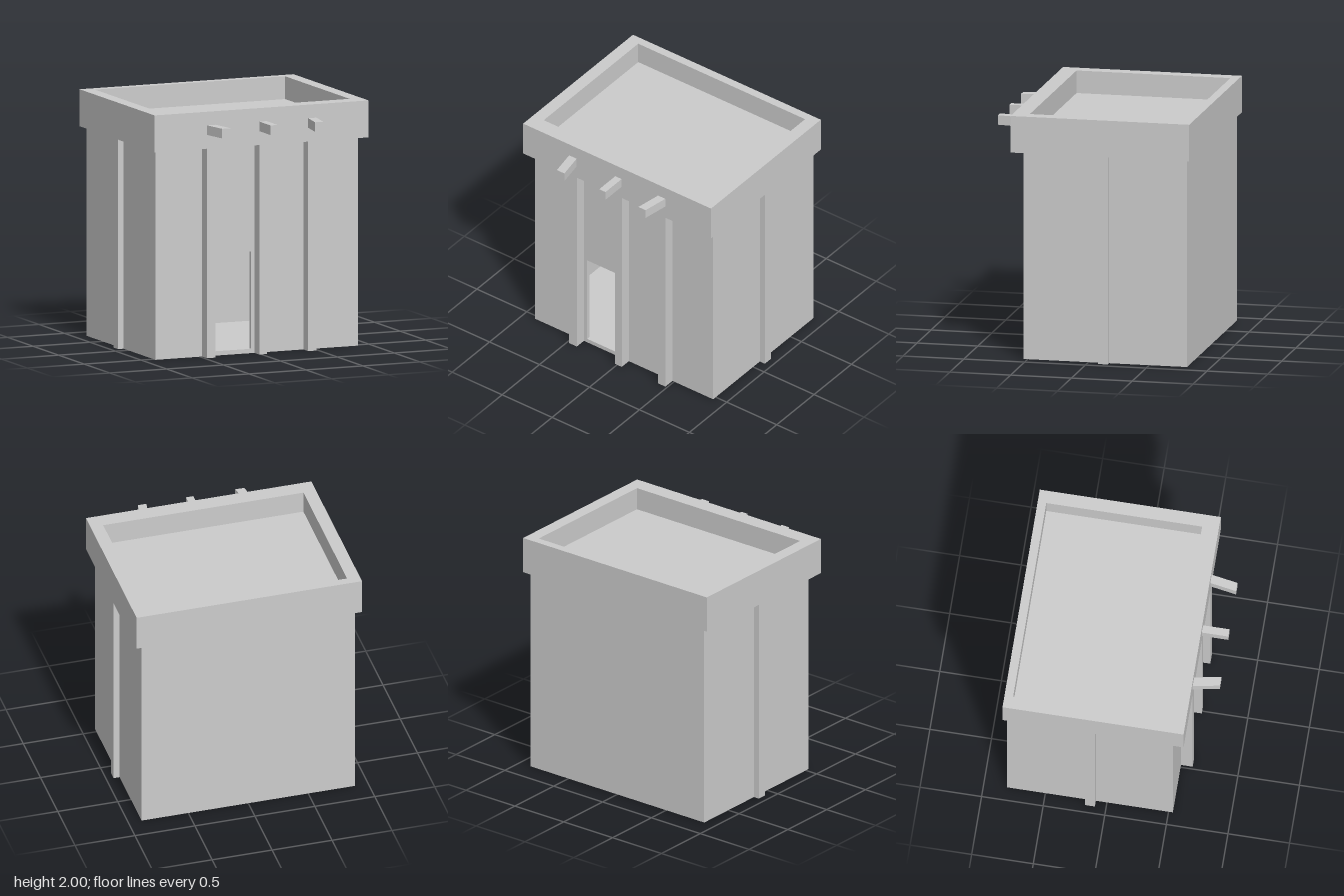
import * as THREE from 'three';

const material = new THREE.MeshStandardMaterial({ color: 0xcccccc, flatShading: true });

export function createModel() {
  const model = new THREE.Group();
  model.name = 'flatRoofedHouse';

  const add = (name, geometry) => {
    const mesh = new THREE.Mesh(geometry, material);
    mesh.name = name;
    model.add(mesh);
    return mesh;
  };

  // Box given by its limits on each axis
  const box = (name, x0, x1, y0, y1, z0, z1) =>
    add(name, new THREE.BoxGeometry(x1 - x0, y1 - y0, z1 - z0)
      .translate((x0 + x1) / 2, (y0 + y1) / 2, (z0 + z1) / 2));

  const trace = (path, a0, a1, b0, b1) => {
    path.moveTo(a0, b0);
    path.lineTo(a1, b0);
    path.lineTo(a1, b1);
    path.lineTo(a0, b1);
    path.closePath();
    return path;
  };

  // Rectangular plate with a rectangular opening
  const plate = (outer, inner, depth) => {
    const shape = trace(new THREE.Shape(), ...outer);
    shape.holes.push(trace(new THREE.Path(), ...inner));
    return new THREE.ExtrudeGeometry(shape, { depth, bevelEnabled: false });
  };

  const W = 0.89, BACK = -0.81, FRONT = 0.535, T = 0.03, EAVES = 1.7;

  // Hollow room: front wall with doorway, back and side walls, floor
  add('frontWall', plate([-W, W, 0, EAVES], [-0.37, -0.05, 0.035, 0.825], T)
    .translate(0, 0, FRONT - T));
  box('backWall', -W, W, 0, EAVES, BACK, BACK + T);
  box('rightWall', -W, -W + T, 0, EAVES, BACK + T, FRONT - T);
  box('leftWall', W - T, W, 0, EAVES, BACK + T, FRONT - T);
  box('floor', -W + T, W - T, 0, 0.035, BACK + T, FRONT - T);

  // Parapet ring around the sunken roof deck
  add('parapet', plate([-0.94, 0.94, -0.63, 0.84], [-0.835, 0.835, -0.495, 0.77], 0.3)
    .rotateX(-Math.PI / 2).translate(0, EAVES, 0));
  box('roofDeck', -0.835, 0.835, 1.78, 1.815, -0.77, 0.495);

  // Pilasters on the front and on both sides
  for (const [x0, x1] of [[-0.48, -0.403], [-0.02, 0.047], [0.41, 0.483]]) {
    box('frontPilaster', x0, x1, 0, EAVES, FRONT, 0.63);
  }
  box('rightPilaster', -0.94, -W, 0, EAVES, -0.17, -0.09);
  box('leftPilaster', W, 0.94, 0, EAVES, -0.17, -0.09);

  // Roof beams poking out of the parapet, the outer ones angled inward
  for (const [x0, x1, lean] of [[-0.48, -0.405, 0.038], [-0.018, 0.045, 0], [0.41, 0.482, -0.036]]) {
    const beam = box('roofBeam', x0, x1, 1.812, 1.89, 0.63, 0.845);
    const p = beam.geometry.attributes.position;
    for (let i = 0; i < p.count; i++) {
      if (p.getZ(i) > 0.7) p.setX(i, p.getX(i) + lean);
    }
    beam.geometry.computeVertexNormals();
  }

  return model;
}
